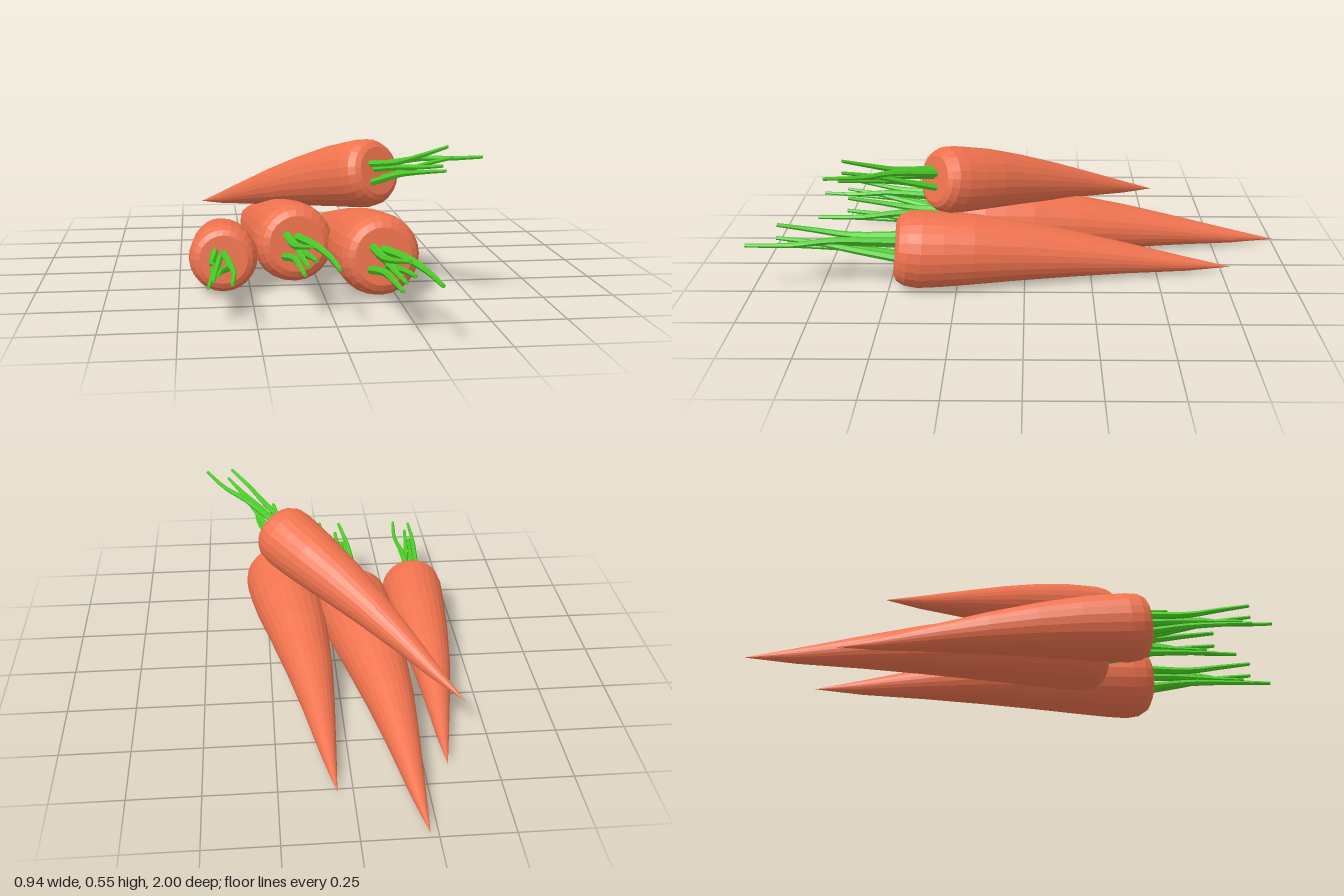
import * as THREE from 'three';

const orange = new THREE.MeshStandardMaterial({ color: 0xf0734e, flatShading: true });
const green = new THREE.MeshStandardMaterial({ color: 0x4ccc28, flatShading: true });

// Skin over round sections [x, y, z, radius], listed from +z to -z
function skin(sections, sides) {
  const pos = [], index = [];
  for (const [x, y, z, r] of sections) {
    for (let i = 0; i < sides; i++) {
      const a = (i / sides) * Math.PI * 2;
      pos.push(x + Math.cos(a) * r, y + Math.sin(a) * r, z);
    }
  }
  for (let s = 0; s < sections.length - 1; s++) {
    for (let i = 0; i < sides; i++) {
      const j = (i + 1) % sides;
      const a = s * sides + i, b = s * sides + j;
      const c = a + sides, d = b + sides;
      if (sections[s][3] > 0) index.push(a, c, b);
      if (sections[s + 1][3] > 0) index.push(b, c, d);
    }
  }
  const geo = new THREE.BufferGeometry();
  geo.setAttribute('position', new THREE.Float32BufferAttribute(pos, 3));
  geo.setIndex(index);
  geo.computeVertexNormals();
  return geo;
}

// Root: flat crown, rounded shoulder, slightly bowed taper to a point
const rootGeometry = skin([
  [0, 0, 0, 0],
  [0, 0, 0, 0.1],
  [0, 0, -0.012, 0.122],
  [0, 0, -0.04, 0.138],
  [0, 0, -0.09, 0.144],
  [0, 0.004, -0.17, 0.14],
  [-0.002, 0.01, -0.28, 0.132],
  [-0.01, 0.012, -0.46, 0.112],
  [-0.015, 0.01, -0.66, 0.087],
  [-0.012, 0.006, -0.87, 0.058],
  [-0.004, 0, -1.1, 0.027],
  [0, 0, -1.275, 0],
], 24);

// Stalks: a few points each, from the crown to the end
const stalkGeometries = [
  [[0.0, 0.025, -0.02], [0.02, 0.02, 0.23], [0.035, 0.0, 0.37], [0.025, -0.015, 0.535]],
  [[-0.035, 0.035, -0.02], [-0.045, 0.02, 0.16], [-0.05, 0.03, 0.3], [-0.04, 0.045, 0.43]],
  [[-0.045, -0.045, -0.02], [-0.04, -0.03, 0.15], [-0.05, -0.035, 0.28], [-0.062, -0.045, 0.42]],
  [[0.02, -0.035, -0.02], [0.0, -0.02, 0.15], [-0.015, -0.005, 0.29], [-0.025, 0.0, 0.43]],
  [[-0.015, 0.01, -0.02], [-0.025, 0.0, 0.14], [-0.035, -0.015, 0.27], [-0.042, -0.025, 0.39]],
].map((points) => {
  const curve = new THREE.CatmullRomCurve3(points.map((p) => new THREE.Vector3(...p)));
  const sections = curve.getPoints(9).reverse().map((p, i) => [p.x, p.y, p.z, 0.007 + 0.009 * (i / 9)]);
  const [x, y, z] = sections[0];
  return skin([[x, y, z, 0], ...sections], 6);
});

function carrot(name, position, yaw, pitch, scale) {
  const group = new THREE.Group();
  group.name = name;
  const root = new THREE.Mesh(rootGeometry, orange);
  root.name = 'root';
  group.add(root);
  stalkGeometries.forEach((geometry, i) => {
    const stalk = new THREE.Mesh(geometry, green);
    stalk.name = `stalk${i + 1}`;
    group.add(stalk);
  });
  group.position.set(...position);
  group.rotation.set(pitch, yaw, 0, 'YXZ');
  group.scale.setScalar(scale);
  return group;
}

export function createModel() {
  const model = new THREE.Group();
  model.name = 'carrotPile';
  model.add(
    carrot('middleCarrot', [-0.08, 0.155, 0.26], 0.111, -0.107, 1),
    carrot('leftCarrot', [0.195, 0.155, 0.475], 0.111, -0.107, 1),
    carrot('rightCarrot', [-0.345, 0.135, 0.38], -0.014, -0.107, 0.835),
    // Lies across the other three
    carrot('topCarrot', [0.2, 0.425, 0.32], 0.628, -0.245, 0.84),
  );
  return model;
}
